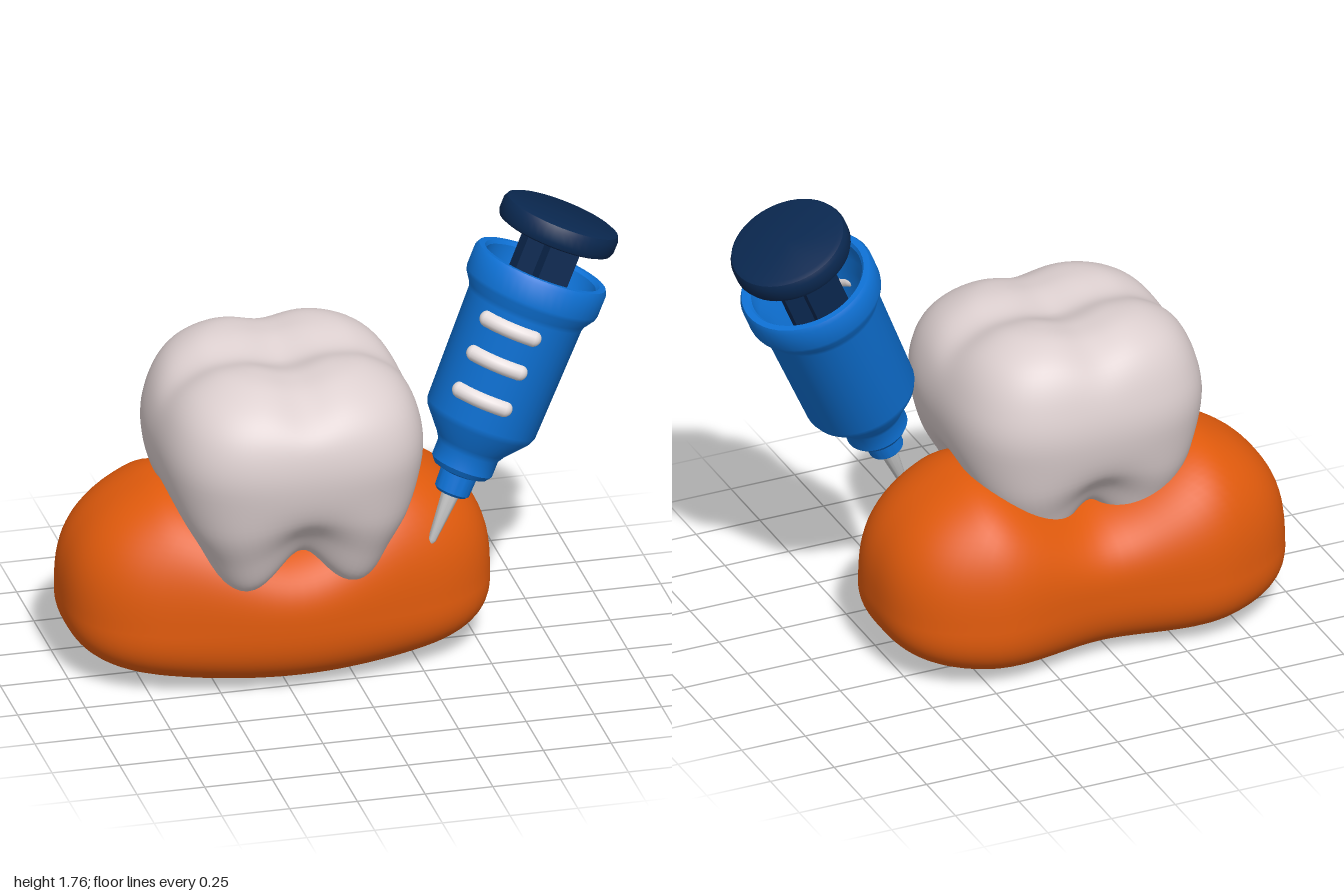
import * as THREE from 'three';
import { mergeVertices, toCreasedNormals } from 'three/addons/utils/BufferGeometryUtils.js';

const mat = (color) => new THREE.MeshStandardMaterial({ color });
const orange = mat(0xe05a0c), enamel = mat(0xdccfcf), blue = mat(0x0e72d6);
const navy = mat(0x0a2850), steel = mat(0xcccccc), white = mat(0xe6dede);

function mesh(name, geometry, material, parent) {
  const m = new THREE.Mesh(geometry, material);
  m.name = name;
  parent.add(m);
  return m;
}

// Moves every vertex by a rule, welds the seams and smooths the normals
function deform(geometry, rule) {
  geometry.deleteAttribute('uv');
  geometry.deleteAttribute('normal');
  const pos = geometry.attributes.position, v = new THREE.Vector3();
  for (let i = 0; i < pos.count; i++) {
    rule(v.fromBufferAttribute(pos, i));
    pos.setXYZ(i, v.x, v.y, v.z);
  }
  const g = mergeVertices(geometry, 1e-5);
  g.computeVertexNormals();
  return g;
}

const points = (list) => list.map(([r, y]) => new THREE.Vector2(r, y));
const lathe = (list, sides = 48) =>
  toCreasedNormals(new THREE.LatheGeometry(points(list), sides), 0.6);

// Bean-shaped block: two raised lobes, a saddle between, ends swept back
function gumGeometry() {
  return deform(new THREE.SphereGeometry(1, 96, 64), (v) => {
    const n = 2.7 - 0.45 * v.y;
    const k = Math.pow(Math.abs(v.x) ** n + Math.abs(v.y) ** n + Math.abs(v.z) ** n, -1 / n);
    v.multiplyScalar(k);
    const s = THREE.MathUtils.smoothstep(Math.abs(v.x), 0, 0.62);
    const height = v.y > 0 ? 0.30 + 0.22 * s : 0.27;
    v.set(
      -0.2175 + 0.7825 * v.x,
      0.27 + height * v.y,
      -0.055 - 0.065 * s + (0.42 + 0.025 * s) * v.z,
    );
  });
}

// Rounded-square crown with four cusps and four root tips
function toothGeometry() {
  const profile = new THREE.SplineCurve(points([
    [0, 0.6], [0.12, 0.57], [0.21, 0.46], [0.265, 0.415], [0.315, 0.44], [0.37, 0.55],
    [0.44, 0.7], [0.48, 0.9], [0.458, 1.05], [0.395, 1.16], [0.29, 1.228],
    [0.18, 1.245], [0.08, 1.245], [0, 1.245],
  ])).getPoints(72);
  profile[0].x = profile[72].x = 0;
  return deform(new THREE.LatheGeometry(profile, 96), (v) => {
    const r = Math.hypot(v.x, v.z);
    if (r > 1e-6) {
      const c = Math.abs(v.x / r), s = Math.abs(v.z / r), n = 3.1;
      const square = Math.pow(c ** n + s ** n, -1 / n);
      const notch = (0.5 + 0.5 * Math.cos(4 * Math.atan2(v.z, v.x))) ** 1.3;
      const low = 1 - THREE.MathUtils.smoothstep(v.y, 0.4, 0.85);
      const edge = THREE.MathUtils.smoothstep(r, 0.05, 0.25);
      const k = square * (1 - 0.1 * notch * low);
      v.x *= k;
      v.z *= k * (1 + 0.12 * low);
      v.y += 0.15 * notch * low * edge;
    }
    // Crossing grooves on the biting surface, back ridge slightly higher
    const top = THREE.MathUtils.smoothstep(v.y, 1.0, 1.23);
    v.y -= top * (0.03 * Math.exp(-((v.x / 0.1) ** 2))
      + 0.035 * Math.exp(-((v.z / 0.1) ** 2)) + 0.06 * v.z);
    v.x -= 0.22;
    v.z += 0.03;
  });
}

// Syringe built upright from its needle tip at the origin
function buildSyringe() {
  const g = new THREE.Group();
  g.name = 'syringe';

  mesh('needle', lathe([[0, 0], [0.009, 0.003], [0.015, 0.015], [0.037, 0.24]], 24), steel, g);

  // Hollow barrel with stepped nozzle and flared rim
  mesh('barrel', lathe([
    [0, 0.2], [0.055, 0.2], [0.065, 0.21], [0.068, 0.28], [0.1, 0.29], [0.115, 0.31],
    [0.115, 0.37], [0.13, 0.395], [0.197, 0.475], [0.207, 0.5], [0.217, 0.93],
    [0.224, 0.95], [0.248, 0.985], [0.252, 1.0], [0.252, 1.08], [0.243, 1.097],
    [0.22, 1.097], [0.21, 1.085], [0.205, 1.0], [0.185, 0.95], [0.18, 0.6], [0, 0.6],
  ]), blue, g);
  mesh('seal', new THREE.CylinderGeometry(0.178, 0.178, 0.03, 48).translate(0, 0.61, 0), white, g);

  // Cross-ribbed plunger rod and thumb disc
  for (const turn of [0, Math.PI / 2]) {
    const rib = mesh('plungerRib', new THREE.BoxGeometry(0.21, 0.62, 0.075), navy, g);
    rib.position.y = 0.93;
    rib.rotation.y = turn;
  }
  mesh('thumbDisc', lathe([
    [0, 1.213], [0.195, 1.213], [0.212, 1.22], [0.22, 1.237],
    [0.22, 1.28], [0.212, 1.297], [0.195, 1.304], [0, 1.304],
  ]), navy, g);

  // Rounded measuring marks wrapped round the front of the barrel
  const start = 1.62, arc = 0.88, R = 0.2, tube = 0.031;
  for (const y of [0.6, 0.745, 0.88]) {
    const mark = new THREE.Group();
    mark.name = 'measureMark';
    mark.position.y = y;
    const ring = R + (y - 0.6) * 0.025;
    mesh('markBar', new THREE.TorusGeometry(ring, tube, 16, 20, arc)
      .rotateX(Math.PI / 2).rotateY(-start), white, mark);
    for (const a of [start, start + arc]) {
      mesh('markEnd', new THREE.SphereGeometry(tube, 16, 12), white, mark)
        .position.set(ring * Math.cos(a), 0, ring * Math.sin(a));
    }
    g.add(mark);
  }

  const axis = new THREE.Vector3(0.515, 1.17, -0.125).normalize();
  g.quaternion.setFromUnitVectors(new THREE.Vector3(0, 1, 0), axis);
  g.position.set(0.28, 0.49, 0.225);
  return g;
}

export function createModel() {
  const model = new THREE.Group();
  model.name = 'toothAndSyringe';
  mesh('gum', gumGeometry(), orange, model);
  mesh('tooth', toothGeometry(), enamel, model);
  model.add(buildSyringe());
  return model;
}
